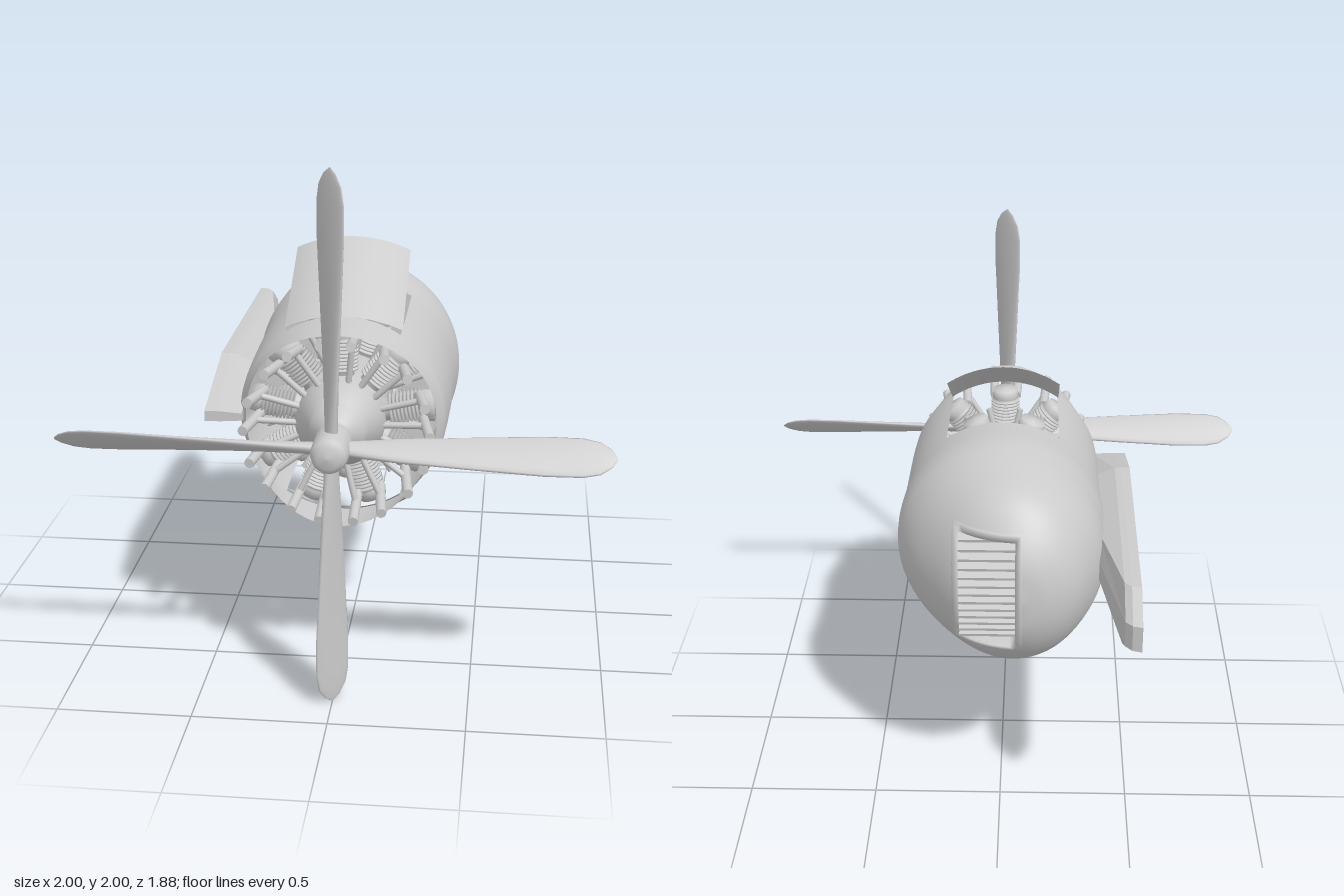
import * as THREE from 'three';

const grey = new THREE.MeshStandardMaterial({ color: 0xcccccc, side: THREE.DoubleSide });
const V = (x, y, z) => new THREE.Vector3(x, y, z);
const lerp = THREE.MathUtils.lerp;

function add(parent, name, geometry) {
  const m = new THREE.Mesh(geometry, grey);
  m.name = name;
  parent.add(m);
  return m;
}

// Skin between rows of points; closed wraps each row, skip(i, j, centre) leaves openings
function loft(rows, closed = true, skip = () => false) {
  const n = rows[0].length, idx = [];
  for (let i = 0; i < rows.length - 1; i++) {
    for (let j = 0; j < (closed ? n : n - 1); j++) {
      const k = (j + 1) % n;
      if (skip(i, j, rows[i][j].clone().add(rows[i + 1][k]).multiplyScalar(0.5))) continue;
      const a = i * n + j, b = i * n + k, c = a + n, d = b + n;
      idx.push(a, c, b, b, c, d);
    }
  }
  const g = new THREE.BufferGeometry().setFromPoints(rows.flat());
  g.setIndex(idx);
  g.computeVertexNormals();
  return g;
}

// Cylinder between two points
function rod(parent, name, a, b, r0, r1 = r0, sides = 10) {
  const dir = b.clone().sub(a);
  const m = add(parent, name, new THREE.CylinderGeometry(r1, r0, dir.length(), sides));
  m.position.copy(a).lerp(b, 0.5);
  m.quaternion.setFromUnitVectors(V(0, 1, 0), dir.normalize());
  return m;
}

// Nacelle profile: (half width, half height, z), tail drifting towards -x
const profile = new THREE.CatmullRomCurve3([
  V(0.355, 0.366, 0.67), V(0.385, 0.38, 0.47), V(0.397, 0.402, 0), V(0.405, 0.416, -0.2),
  V(0.372, 0.39, -0.38), V(0.29, 0.345, -0.53), V(0.215, 0.255, -0.62), V(0.11, 0.14, -0.68), V(0, 0, -0.7),
]);
const STEPS = 6, SEG = 128, HALF = 12; // HALF: cells on each side of a flap opening
const centreX = z => Math.min(0, (z + 0.25) * 0.175);

// Depth of the tail surface at a given x, y
function rearZ(x, y) {
  for (let u = 1; u > 0.3; u -= 0.002) {
    const p = profile.getPoint(u);
    if (((x - centreX(p.z)) / (p.x + 1e-6)) ** 2 + (y / (p.y + 1e-6)) ** 2 < 1) return p.z;
  }
  return -0.2;
}

const vent = { x0: -0.06, x1: 0.15, h: 0.22 };
const ventFloor = y => -0.6 + 0.06 * (y / vent.h) ** 2;

function buildCowling(root) {
  const rows = [];
  for (let i = 0; i <= 8 * STEPS; i++) {
    const p = profile.getPoint(i / (8 * STEPS)), row = [];
    for (let j = 0; j < SEG; j++) {
      const a = (j / SEG) * Math.PI * 2;
      // front lip swept back at the sides
      const z = i < STEPS ? lerp(0.53 + 0.14 * Math.cos(a) ** 2, 0.47, i / STEPS) : p.z;
      row.push(V(centreX(z) + p.x * Math.sin(a), p.y * Math.cos(a), z));
    }
    rows.push(row);
  }
  add(root, 'cowling', loft(rows, true, (i, j, c) => {
    const inFlap = i >= STEPS && i < 2 * STEPS &&
      (j < HALF || j >= SEG - HALF || Math.abs(j + 0.5 - SEG / 2) < HALF);
    const inVent = c.z < -0.4 && c.x > vent.x0 - 0.008 && c.x < vent.x1 + 0.008 && Math.abs(c.y) < vent.h + 0.008;
    return inFlap || inVent;
  }));
  const wall = add(root, 'firewall', new THREE.CircleGeometry(0.395, 48));
  wall.position.z = -0.04;
}

// Recessed outlet at the tail with horizontal slats
function buildVent(root) {
  const g = new THREE.Group();
  g.name = 'rearVent';
  root.add(g);
  const loop = (grow, depth) => {
    const x0 = vent.x0 - grow, x1 = vent.x1 + grow, h = vent.h + grow, pts = [];
    const c = [[x0, -h], [x1, -h], [x1, h], [x0, h]];
    for (let s = 0; s < 4; s++) {
      for (let k = 0; k < 10; k++) {
        const [x, y] = [0, 1].map(q => lerp(c[s][q], c[(s + 1) % 4][q], k / 10));
        pts.push(V(x, y, depth(x, y)));
      }
    }
    return pts;
  };
  add(g, 'ventFrame', loft([
    loop(0.028, (x, y) => rearZ(x, y) + 0.002), loop(0.022, (x, y) => rearZ(x, y) - 0.005),
    loop(0, (x, y) => rearZ(x, y) - 0.006), loop(0, (x, y) => ventFloor(y)),
  ]));
  const floor = [];
  for (let i = 0; i <= 10; i++) {
    const y = lerp(-vent.h, vent.h, i / 10);
    floor.push([V(vent.x0, y, ventFloor(y)), V(vent.x1, y, ventFloor(y))]);
  }
  add(g, 'ventFloor', loft(floor, false));
  for (let i = 0; i < 13; i++) {
    const y = lerp(-0.2, 0.2, i / 12);
    const slat = add(g, 'ventSlat', new THREE.BoxGeometry(vent.x1 - vent.x0, 0.012, 0.04));
    slat.position.set((vent.x0 + vent.x1) / 2, y, ventFloor(y) - 0.018);
    slat.rotation.x = -0.3;
  }
}

// Curved flap hinged at the front of an opening; side is +1 top, -1 bottom
function buildFlap(root, name, side, angle) {
  const rows = [];
  for (let i = 0; i <= 4; i++) {
    const row = [], d = (i / 4) * 0.425;
    for (let j = -HALF; j <= HALF; j++) {
      const a = (j / SEG) * Math.PI * 2, sag = 0.39 * (Math.cos(a) - 1);
      row.push(V(0.395 * Math.sin(a),
        side * (0.378 + sag * Math.cos(angle) + d * Math.sin(angle)),
        0.465 + sag * Math.sin(angle) - d * Math.cos(angle)));
    }
    rows.push(row);
  }
  add(root, name, loft(rows, false));
}

// Long side fairing on -x, pointed in front, chamfered at the rear
function buildFairing(root) {
  const outline = [[0.54, 0.02], [0.17, 0.13], [-0.8, 0.13], [-0.94, 0.05]];
  const ring = (x, inset, ys) => {
    const half = outline.map(([z, y], i) => V(x, y * ys, i > 1 ? z + inset : z));
    return [...half, ...half.map(p => V(p.x, -p.y, p.z)).reverse()];
  };
  const centre = (x, z) => Array.from({ length: 8 }, () => V(x, 0, z));
  const g = loft([centre(-0.51, -0.2), ring(-0.51, 0, 1), ring(-0.475, 0.01, 1),
    ring(-0.45, 0.04, 0.98), ring(-0.37, 0.5, 0.7), centre(-0.37, 0)]).toNonIndexed();
  g.computeVertexNormals();
  add(root, 'sideFairing', g);
}

// Radial engine: finned cylinders, pushrods and rocker stubs in two rows
function buildEngine(root) {
  const engine = new THREE.Group();
  engine.name = 'engine';
  root.add(engine);
  const caseProfile = [[0, 0.72], [0.05, 0.72], [0.055, 0.7], [0.1, 0.67], [0.11, 0.61], [0.165, 0.57], [0.17, 0], [0, 0]];
  const crankcase = add(engine, 'crankcase',
    new THREE.LatheGeometry(caseProfile.map(([r, z]) => new THREE.Vector2(r, z)), 36));
  crankcase.geometry.rotateX(Math.PI / 2);
  rod(engine, 'propellerShaft', V(0, 0, 0.68), V(0, 0, 0.8), 0.04, 0.04, 20);

  const barrel = [[0.045, 0.14]];
  for (let k = 0; k < 9; k++) {
    const y = 0.18 + k * 0.014;
    barrel.push([0.045, y], [0.06, y + 0.002], [0.06, y + 0.007], [0.045, y + 0.009]);
  }
  barrel.push([0.055, 0.31], [0.05, 0.345], [0, 0.35]);
  const barrelGeo = new THREE.LatheGeometry(barrel.map(([r, y]) => new THREE.Vector2(r, y)), 14);

  for (let row = 0; row < 2; row++) {
    for (let i = 0; i < 9; i++) {
      const c = new THREE.Group();
      c.name = 'cylinder';
      c.rotation.z = ((i + row / 2) / 9) * Math.PI * 2;
      engine.add(c);
      const z = row ? 0.2 : 0.47;
      add(c, 'finnedBarrel', barrelGeo).position.z = z;
      for (const s of [-1, 1]) {
        rod(c, 'pushrod', V(s * 0.03, 0.14, z + 0.09), V(s * 0.05, 0.325, z + 0.11), 0.012);
        if (!row) rod(c, 'rockerStub', V(s * 0.045, 0.3, 0.5), V(s * 0.055, 0.335, 0.7), 0.019);
      }
    }
  }
}

// Four twisted blades on a domed hub
function buildPropeller(root) {
  const prop = new THREE.Group();
  prop.name = 'propeller';
  prop.position.z = 0.83;
  root.add(prop);
  const hub = [[0, -0.07], [0.062, -0.07], [0.068, -0.06], [0.068, 0.06], [0.06, 0.09], [0.04, 0.104], [0, 0.11]];
  const hubGeo = new THREE.LatheGeometry(hub.map(([r, z]) => new THREE.Vector2(r, z)), 28).rotateX(Math.PI / 2);
  add(prop, 'hub', hubGeo);
  // radius, chord, thickness, pitch in degrees
  const sections = [[0.04, 0.06, 0.045, 62], [0.12, 0.08, 0.042, 62], [0.25, 0.11, 0.036, 60], [0.5, 0.135, 0.03, 53],
    [0.75, 0.155, 0.024, 47], [0.88, 0.15, 0.02, 45], [0.94, 0.125, 0.017, 45], [0.98, 0.07, 0.012, 45], [1, 0.01, 0.004, 45]];
  const rows = sections.map(([r, chord, thick, pitch]) => {
    const p = THREE.MathUtils.degToRad(pitch);
    return Array.from({ length: 16 }, (_, k) => {
      const a = (k / 16) * Math.PI * 2, u = Math.cos(a) * chord / 2, v = Math.sin(a) * thick / 2;
      return V(u * Math.cos(p) - v * Math.sin(p), r, u * Math.sin(p) + v * Math.cos(p));
    });
  });
  const blade = loft(rows);
  for (let i = 0; i < 4; i++) add(prop, 'blade', blade).rotation.z = i * Math.PI / 2;
}

export function createModel() {
  const root = new THREE.Group();
  root.name = 'aircraftEngineNacelle';
  const body = new THREE.Group();
  body.name = 'nacelle';
  body.position.y = 1;
  root.add(body);
  buildCowling(body);
  buildVent(body);
  buildFlap(body, 'topFlap', 1, 0.53);
  buildFlap(body, 'bottomFlap', -1, 0.44);
  buildFairing(body);
  buildEngine(body);
  buildPropeller(body);
  return root;
}
